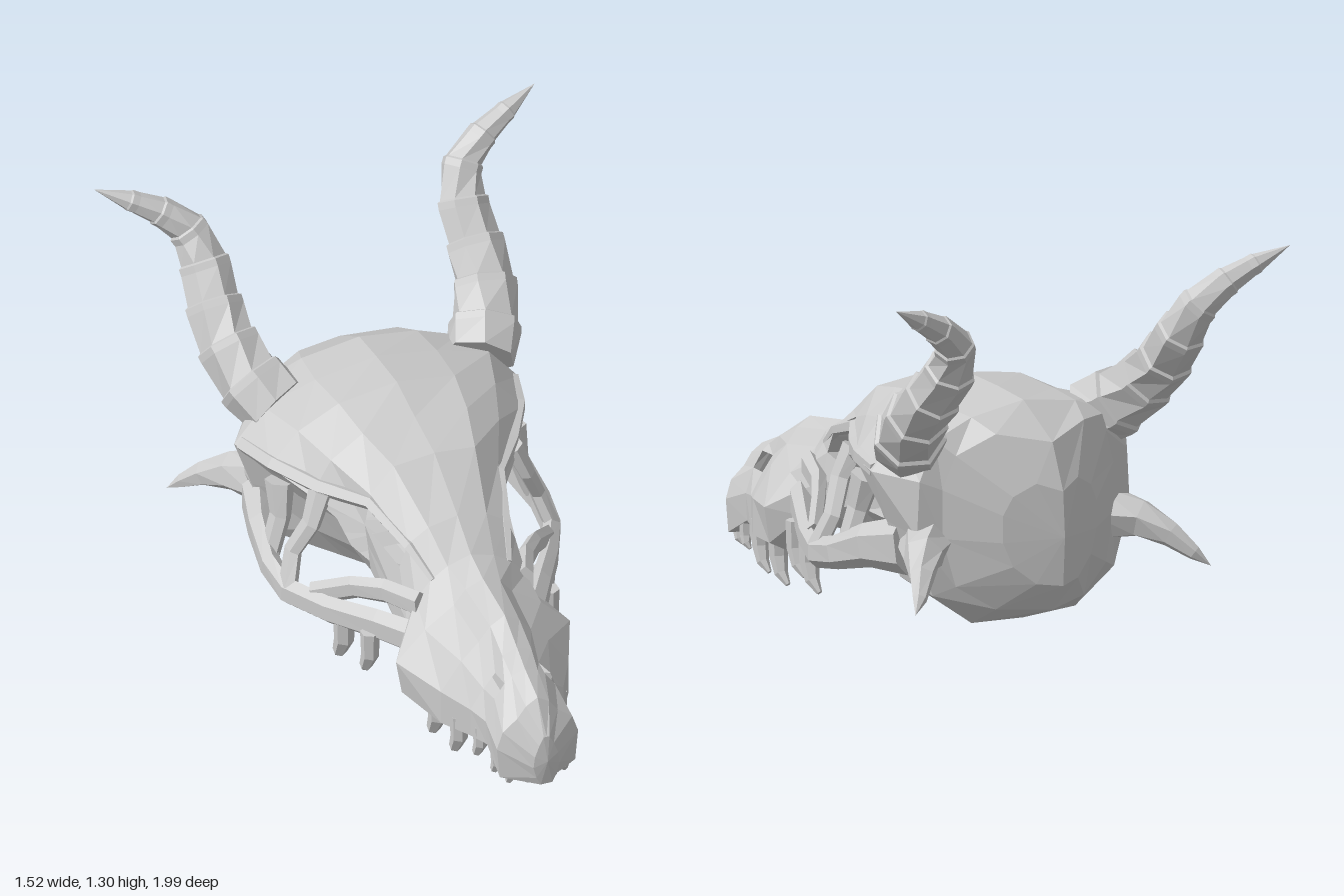
import * as THREE from 'three';

const bone = new THREE.MeshStandardMaterial({ color: 0xcccccc, flatShading: true, side: THREE.DoubleSide });
const V = (x, y, z) => new THREE.Vector3(x, y, z);
const UP = V(0, 1, 0);
const FORWARD = V(0, 0, 1);

// Skins a list of closed rings; skip(span, column) leaves a quad open
function skin(name, rings, skip = () => false) {
  const pos = [];
  const n = rings[0].length;
  for (let s = 0; s < rings.length - 1; s++) {
    for (let i = 0; i < n; i++) {
      if (skip(s, i)) continue;
      const k = (i + 1) % n;
      const a = rings[s][i], b = rings[s][k], c = rings[s + 1][k], d = rings[s + 1][i];
      for (const p of [a, b, c, a, c, d]) pos.push(p.x, p.y, p.z);
    }
  }
  const geo = new THREE.BufferGeometry();
  geo.setAttribute('position', new THREE.Float32BufferAttribute(pos, 3));
  geo.computeVertexNormals();
  const mesh = new THREE.Mesh(geo, bone);
  mesh.name = name;
  return mesh;
}

// Station: z, top y, six side points (x, y), bottom y -> mirrored ring of 14.
// Behind z = -0.7 the sides sweep forward, giving the back a vertical keel.
function ring([z, top, ...rest]) {
  const bottom = rest.pop();
  const sweep = z < -0.7 ? 0.42 : 0;
  const half = [];
  for (let i = 0; i < rest.length; i += 2) half.push(V(rest[i], rest[i + 1], z + sweep * rest[i]));
  const other = half.map((p) => V(-p.x, p.y, p.z)).reverse();
  return [V(0, top, z), ...half, V(0, bottom, z), ...other];
}

// All points of a ring pulled to one height on the midline, to close an end
const pinch = (r, y, z) => r.map(() => V(0, y, z));

// Faceted limb through points [x, y, z, radius]. lip adds a raised rim at each joint,
// tall stretches the section along the ref direction
function limb(name, pts, { sides = 6, lip = 0, tall = 1, ref = FORWARD } = {}) {
  const p = pts.map((q) => V(q[0], q[1], q[2]));
  const rings = [];
  p.forEach((c, i) => {
    const last = i === p.length - 1;
    const t = p[Math.min(i + 1, p.length - 1)].clone().sub(p[Math.max(i - 1, 0)]).normalize();
    const h = t.clone().cross(ref).normalize();
    const v = h.clone().cross(t);
    const r = pts[i][3];
    const add = (radius, along = 0) => rings.push(Array.from({ length: sides }, (_, k) => {
      const a = ((k + 0.5) / sides) * Math.PI * 2;
      return c.clone().addScaledVector(t, along)
        .addScaledVector(h, Math.cos(a) * radius).addScaledVector(v, -Math.sin(a) * radius * tall);
    }));
    if (i === 0) add(0);
    if (lip && i > 0 && !last) {
      add(r * (1 + lip), -0.012);
      add(r * (1 + lip), 0.012);
      add(r * 0.97, 0.018);
    } else add(r);
    if (last) add(0);
  });
  return skin(name, rings);
}

const snoutStations = [
  [0.985, 0.25, 0.01, 0.25, 0.025, 0.22, 0.04, 0.18, 0.045, 0.14, 0.035, 0.1, 0.02, 0.07, 0.07],
  [0.91, 0.355, 0.04, 0.33, 0.07, 0.29, 0.12, 0.25, 0.14, 0.19, 0.13, 0.08, 0.08, 0.07, 0.09],
  [0.805, 0.4, 0.045, 0.38, 0.07, 0.36, 0.105, 0.31, 0.135, 0.23, 0.13, 0.14, 0.09, 0.12, 0.14],
  [0.74, 0.44, 0.05, 0.42, 0.075, 0.36, 0.115, 0.31, 0.16, 0.24, 0.16, 0.14, 0.11, 0.13, 0.16],
  [0.64, 0.5, 0.05, 0.47, 0.09, 0.42, 0.15, 0.36, 0.22, 0.26, 0.22, 0.14, 0.16, 0.13, 0.18],
  [0.46, 0.525, 0.06, 0.5, 0.1, 0.45, 0.2, 0.38, 0.3, 0.28, 0.28, 0.16, 0.22, 0.13, 0.2],
  [0.36, 0.555, 0.08, 0.53, 0.14, 0.49, 0.19, 0.43, 0.22, 0.35, 0.22, 0.26, 0.17, 0.23, 0.23],
];
const craniumStations = [
  snoutStations[6],
  [0.25, 0.635, 0.1, 0.615, 0.17, 0.57, 0.2, 0.49, 0.22, 0.39, 0.22, 0.3, 0.17, 0.24, 0.23],
  [0.06, 0.755, 0.14, 0.74, 0.22, 0.65, 0.24, 0.54, 0.23, 0.46, 0.22, 0.36, 0.14, 0.25, 0.22],
  [-0.1, 0.79, 0.18, 0.775, 0.29, 0.7, 0.36, 0.58, 0.27, 0.47, 0.22, 0.35, 0.13, 0.24, 0.21],
  [-0.25, 0.83, 0.2, 0.8, 0.34, 0.73, 0.44, 0.62, 0.34, 0.48, 0.28, 0.33, 0.18, 0.2, 0.2],
  [-0.42, 0.82, 0.21, 0.785, 0.39, 0.73, 0.49, 0.61, 0.43, 0.44, 0.38, 0.25, 0.2, 0.13, 0.13],
  [-0.56, 0.805, 0.2, 0.775, 0.34, 0.72, 0.4, 0.59, 0.41, 0.41, 0.35, 0.21, 0.2, 0.1, 0.09],
  [-0.725, 0.7, 0.17, 0.735, 0.29, 0.67, 0.33, 0.56, 0.33, 0.4, 0.29, 0.24, 0.17, 0.16, 0.15],
  [-0.785, 0.55, 0.08, 0.58, 0.15, 0.54, 0.18, 0.48, 0.18, 0.39, 0.15, 0.31, 0.08, 0.25, 0.24],
];

// Teeth: x, root y, z, length, radius
const teeth = [
  [0.04, 0.1, 0.94, 0.05, 0.018], [0.09, 0.1, 0.91, 0.06, 0.02], [0.11, 0.11, 0.84, 0.07, 0.022],
  [0.13, 0.15, 0.75, 0.11, 0.025], [0.17, 0.15, 0.67, 0.14, 0.031], [0.19, 0.15, 0.54, 0.15, 0.034],
  [0.31, 0.25, 0.27, 0.15, 0.032], [0.345, 0.24, 0.14, 0.16, 0.036],
];

export function createModel() {
  const model = new THREE.Group();
  const skull = new THREE.Group();
  skull.name = 'skull';
  skull.position.x = -0.025;
  model.add(skull);

  // Snout with a nostril opening on each side
  const sn = snoutStations.map(ring);
  skull.add(skin('snout', [pinch(sn[0], 0.16, 0.995), ...sn], (s, i) => s === 3 && Math.min(i, 13 - i) === 2));

  // Cranium with eye sockets and the openings behind them
  const cr = craniumStations.map(ring);
  const open = ['1,2', '2,3', '2,4'];
  skull.add(skin('cranium', [...cr, pinch(cr[8], 0.4, -0.795)],
    (s, i) => open.includes(`${s},${Math.min(i, 13 - i)}`)));

  // Bone wall between the eye sockets
  const wall = new THREE.Mesh(new THREE.BoxGeometry(0.1, 0.13, 0.34), bone);
  wall.name = 'socketWall';
  wall.position.set(0, 0.53, 0.07);
  skull.add(wall);

  for (const m of [1, -1]) {
    const side = m > 0 ? 'left' : 'right';
    const part = (parent, name, pts, opts) =>
      parent.add(limb(side + name, pts.map(([x, y, z, r]) => [m * x, y, z, r]), opts));

    // Cheek arch and the bars joining it to the skull
    part(skull, 'CheekArch', [[0.19, 0.31, 0.42, 0.04], [0.28, 0.3, 0.27, 0.036], [0.38, 0.275, 0.1, 0.032],
      [0.455, 0.265, -0.06, 0.032], [0.465, 0.29, -0.18, 0.034], [0.44, 0.34, -0.32, 0.045],
      [0.39, 0.36, -0.46, 0.06]], { tall: 1.6, ref: UP });
    part(skull, 'UpperCheekBar', [[0.18, 0.42, 0.38, 0.03], [0.24, 0.4, 0.24, 0.028], [0.31, 0.37, 0.14, 0.025],
      [0.4, 0.3, 0.03, 0.025]], { tall: 1.6, ref: UP });
    part(skull, 'SocketBar', [[0.33, 0.6, -0.09, 0.035], [0.37, 0.5, -0.07, 0.028], [0.42, 0.39, -0.1, 0.026],
      [0.455, 0.28, -0.06, 0.028]], { tall: 1.5 });
    part(skull, 'TempleBar', [[0.4, 0.55, -0.26, 0.045], [0.41, 0.44, -0.23, 0.032], [0.45, 0.31, -0.22, 0.03]],
      { tall: 1.4 });

    // Brow ridge running back above the socket
    part(skull, 'BrowRidge', [[0.13, 0.49, 0.36, 0.012], [0.165, 0.56, 0.25, 0.02], [0.22, 0.62, 0.06, 0.025],
      [0.33, 0.61, -0.1, 0.03], [0.42, 0.62, -0.26, 0.03], [0.46, 0.61, -0.41, 0.03]], { sides: 5, ref: UP });

    // Spike behind the cheek
    part(skull, 'CheekSpike', [[0.33, 0.38, -0.5, 0.1], [0.42, 0.365, -0.61, 0.065], [0.48, 0.32, -0.69, 0.042],
      [0.53, 0.265, -0.75, 0.024], [0.57, 0.225, -0.785, 0]]);

    // Ringed horn
    part(model, 'Horn', [[0.35, 0.69, -0.46, 0.115], [0.4, 0.745, -0.54, 0.11], [0.44, 0.83, -0.64, 0.097],
      [0.45, 0.92, -0.74, 0.088], [0.445, 1.02, -0.83, 0.078], [0.47, 1.12, -0.895, 0.062],
      [0.55, 1.19, -0.93, 0.047], [0.64, 1.24, -0.955, 0.033], [0.76, 1.297, -0.99, 0]], { sides: 7, lip: 0.09 });

    // Curved teeth
    teeth.forEach(([x, y, z, h, r], i) => part(skull, 'Tooth' + (i + 1), [[x, y + 0.03, z, r], [x, y - h * 0.4, z, r * 0.9],
      [x + 0.005, y - h * 0.75, z - h * 0.15, r * 0.65], [x, y - h * 0.97, z - h * 0.36, r * 0.25]]));
  }
  return model;
}
